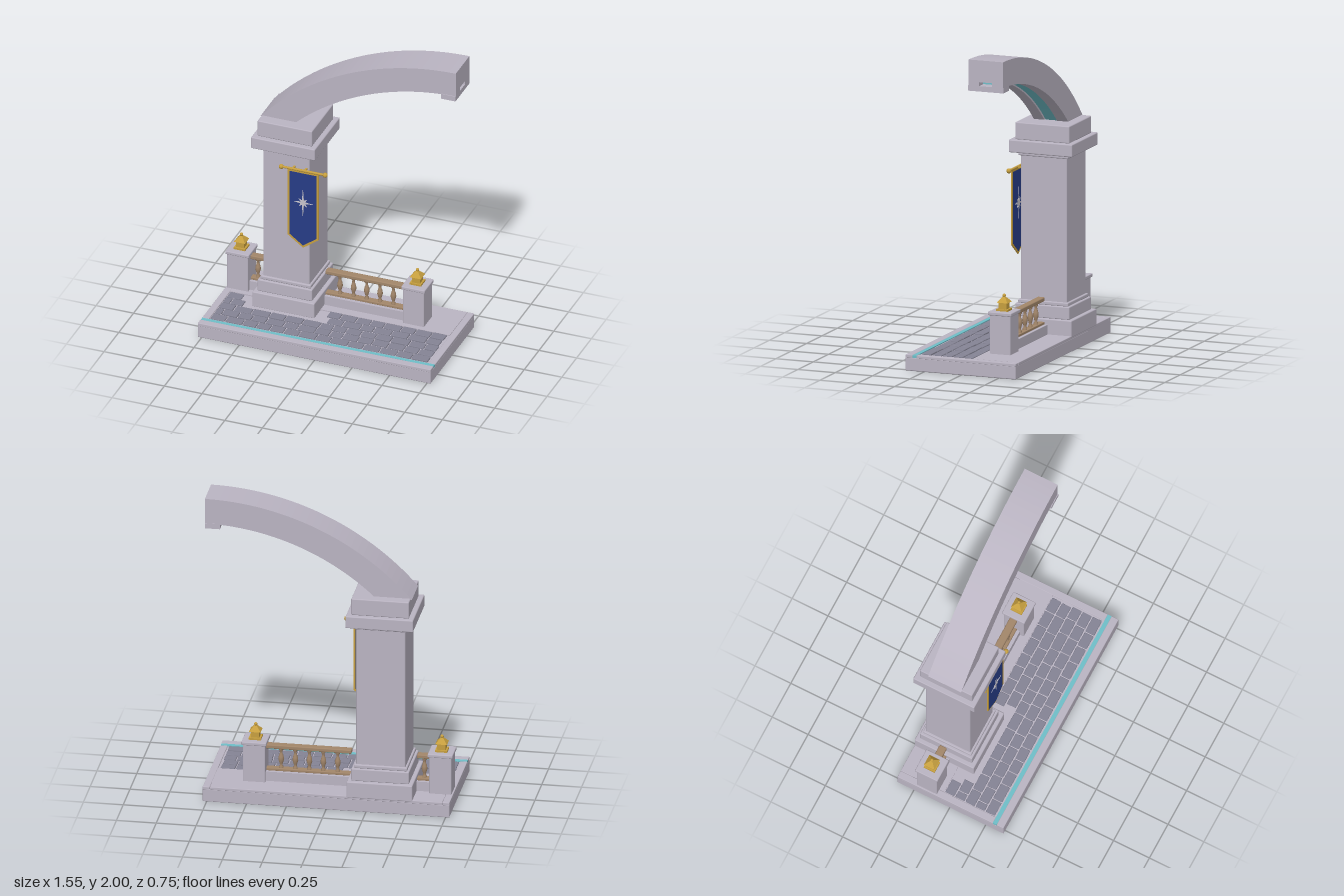
import * as THREE from 'three';
import { RoundedBoxGeometry } from 'three/addons/geometries/RoundedBoxGeometry.js';

const material = (name, color) => {
  const m = new THREE.MeshStandardMaterial({ color });
  m.name = name;
  return m;
};

export function createModel() {
  const model = new THREE.Group();
  model.name = 'archPier';
  const stone = material('paleStone', 0xbab4c2);
  const cobble = material('slateCobble', 0x848394);
  const glow = material('cyanInlay', 0x6fbec8);
  const wood = material('wood', 0xa2866a);
  const gold = material('gold', 0xc69f3f);
  const blue = material('blueCloth', 0x273c86);
  const silver = material('silverThread', 0xc6c4cc);

  const add = (name, geometry, mat, x = 0, y = 0, z = 0, parent = model) => {
    const mesh = new THREE.Mesh(geometry, mat);
    mesh.name = name;
    mesh.position.set(x, y, z);
    parent.add(mesh);
    return mesh;
  };
  // Box given by its limits; bevel > 0 softens the edges
  const box = (name, mat, x0, x1, y0, y1, z0, z1, bevel = 0, parent = model) => {
    const size = [x1 - x0, y1 - y0, z1 - z0];
    const g = bevel ? new RoundedBoxGeometry(...size, 1, bevel) : new THREE.BoxGeometry(...size);
    return add(name, g, mat, (x0 + x1) / 2, (y0 + y1) / 2, (z0 + z1) / 2, parent);
  };
  const extrude = (points, depth) => {
    const shape = new THREE.Shape(points.map(([x, y]) => new THREE.Vector2(x, y)));
    return new THREE.ExtrudeGeometry(shape, { depth, bevelEnabled: false });
  };

  // Base slab with a raised rim and a cyan inlay
  box('baseSlab', stone, -0.775, 0.775, 0, 0.085, -0.365, 0.375, 0.006);
  box('floorBed', stone, -0.73, 0.73, 0.08, 0.094, -0.29, 0.305);
  box('frontRim', stone, -0.775, 0.775, 0.08, 0.102, 0.326, 0.375, 0.004);
  box('backRim', stone, -0.73, 0.73, 0.08, 0.1, -0.365, -0.28, 0.004);
  box('backWalk', stone, -0.73, 0.73, 0.08, 0.1, -0.29, -0.06);
  for (const s of [-1, 1]) {
    const x = s * 0.7525;
    box('sideRim', stone, x - 0.0225, x + 0.0225, 0.08, 0.1, -0.365, 0.3, 0.004);
  }
  box('floorInlay', glow, -0.773, 0.773, 0.08, 0.1, 0.3, 0.327);

  // Cobbles in staggered rows, left out around the pier
  let seed = 11;
  const random = () => (seed = (seed * 16807) % 2147483647) / 2147483647;
  const paving = new THREE.Group();
  paving.name = 'paving';
  model.add(paving);
  for (let row = 0; row < 5; row++) {
    const z = -0.025 + row * 0.0705;
    let x = -0.725;
    let width = row % 2 ? 0.05 : 0.1;
    while (x < 0.7) {
      const end = Math.min(x + width, 0.725);
      if (row > 1 || end < -0.555 || x > -0.07) {
        const c = box('cobble', cobble, x, end - 0.007, 0.085, 0.1 + random() * 0.004,
          z - 0.031, z + 0.031, 0.004, paving);
        c.rotation.y = (random() - 0.5) * 0.05;
      }
      x = end;
      width = 0.085 + random() * 0.035;
      if (row < 2 && x > -0.6 && x < -0.07) x = row ? -0.035 : -0.06;
    }
  }

  // Pier: half width, bottom, top of each course
  const pierX = -0.335, pierZ = -0.16;
  const courses = [
    ['plinth', 0.207, 0.09, 0.197], ['baseCourse', 0.182, 0.195, 0.277],
    ['baseMoulding', 0.168, 0.275, 0.3], ['shaft', 0.155, 0.29, 1.24],
    ['neckMoulding', 0.167, 1.208, 1.23], ['capital', 0.213, 1.232, 1.312],
    ['impost', 0.182, 1.31, 1.42],
  ];
  for (const [name, h, y0, y1] of courses) {
    box(name, stone, pierX - h, pierX + h, y0, y1, pierZ - h, pierZ + h, 0.007);
  }

  // Half arch: bands of a ring, with a groove under the middle holding the inlay
  const cx = 0.775, cy = 0.27;
  const band = (name, mat, r0, r1, z0, z1, inset = 0) => {
    const arc = (r) => {
      const a0 = Math.PI - Math.asin((1.412 - cy) / r);
      const a1 = Math.acos(-inset / r);
      return Array.from({ length: 33 }, (_, i) => {
        const a = a0 + ((a1 - a0) * i) / 32;
        return [cx + r * Math.cos(a), cy + r * Math.sin(a)];
      });
    };
    add(name, extrude([...arc(r0), ...arc(r1).reverse()], z1 - z0), mat, 0, 0, z0);
  };
  band('archBack', stone, 1.565, 1.73, -0.28, -0.205);
  band('archMiddle', stone, 1.592, 1.73, -0.205, -0.12);
  band('archFront', stone, 1.565, 1.73, -0.12, -0.05);
  band('archInlay', glow, 1.572, 1.593, -0.2, -0.125, 0.05);
  box('archEndBlock', stone, 0.68, 0.775, 1.803, 1.837, -0.282, -0.045);

  // Balustrade posts with lantern-shaped finials
  const railZ = -0.165;
  for (const x of [-0.695, 0.475]) {
    const post = new THREE.Group();
    post.name = 'balustradePost';
    post.position.set(x, 0, railZ);
    model.add(post);
    box('postBody', stone, -0.07, 0.07, 0.09, 0.35, -0.07, 0.07, 0.005, post);
    box('postCap', stone, -0.079, 0.079, 0.343, 0.366, -0.079, 0.079, 0.006, post);
    box('finialFoot', gold, -0.038, 0.038, 0.365, 0.378, -0.038, 0.038, 0, post);
    box('finialBody', gold, -0.026, 0.026, 0.378, 0.422, -0.026, 0.026, 0, post);
    const roof = new THREE.CylinderGeometry(0.008, 0.052, 0.036, 4, 1).toNonIndexed();
    roof.computeVertexNormals();
    add('finialRoof', roof, gold, 0, 0.436, 0, post).rotation.y = Math.PI / 4;
    add('finialKnob', new THREE.SphereGeometry(0.011, 10, 8), gold, 0, 0.46, 0, post);
  }

  // Rails, kerbs and turned balusters
  const profile = [[0.014, 0], [0.014, 0.012], [0.008, 0.022], [0.011, 0.035], [0.018, 0.058],
    [0.016, 0.078], [0.009, 0.1], [0.008, 0.114], [0.014, 0.122], [0.014, 0.136]];
  const balusterGeometry = new THREE.LatheGeometry(profile.map(([r, y]) => new THREE.Vector2(r, y)), 12);
  const spans = [[-0.63, -0.54, [-0.585]], [-0.13, 0.41, [-0.04, 0.05, 0.138, 0.226, 0.315]]];
  for (const [x0, x1, xs] of spans) {
    box('kerb', stone, x0, x1, 0.09, 0.162, railZ - 0.043, railZ + 0.043);
    box('bottomRail', wood, x0, x1, 0.16, 0.178, railZ - 0.022, railZ + 0.022, 0.004);
    box('topRail', wood, x0, x1, 0.308, 0.335, railZ - 0.025, railZ + 0.025, 0.007);
    for (const x of xs) add('baluster', balusterGeometry, wood, x, 0.175, railZ);
  }

  // Banner on a rod, held off the pier by two brackets
  const banner = new THREE.Group();
  banner.name = 'banner';
  banner.position.set(-0.21, 0, 0.025);
  model.add(banner);
  const rod = add('bannerRod', new THREE.CylinderGeometry(0.008, 0.008, 0.29, 10), gold, 0, 1.128, 0, banner);
  rod.rotation.z = Math.PI / 2;
  for (const s of [-1, 1]) {
    add('rodBall', new THREE.SphereGeometry(0.016, 12, 10), gold, s * 0.146, 1.128, 0, banner);
    box('rodBracket', gold, -0.035 + s * 0.04, -0.023 + s * 0.04, 1.122, 1.134, -0.035, 0, 0, banner);
  }
  const pennant = (w, top, side, tip, depth) =>
    extrude([[-w, top], [-w, side], [0, tip], [w, side], [w, top]], depth);
  add('bannerBorder', pennant(0.102, 1.122, 0.65, 0.575, 0.006), gold, 0, 0, -0.003, banner);
  add('bannerCloth', pennant(0.09, 1.11, 0.659, 0.592, 0.009), blue, 0, 0, -0.0045, banner);

  // Eight-pointed star, showing on both faces of the cloth
  const star = Array.from({ length: 16 }, (_, i) => {
    const r = i % 2 ? 0.017 : i % 4 ? 0.04 : i % 8 ? 0.1 : 0.066;
    const a = (i * Math.PI) / 8;
    return [r * Math.cos(a), r * Math.sin(a)];
  });
  add('bannerStar', extrude(star, 0.014), silver, 0, 0.9, -0.007, banner);

  return model;
}
